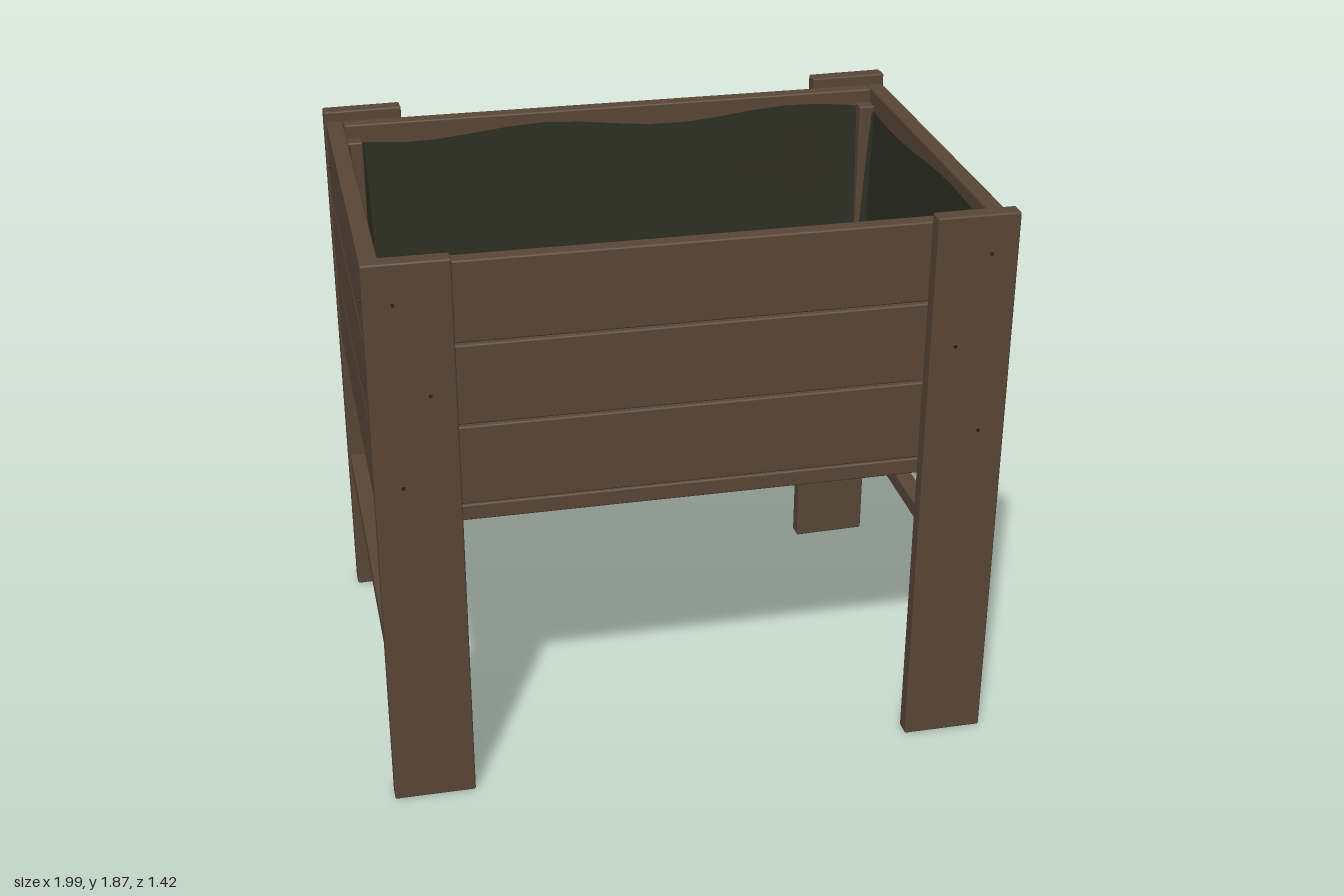
import * as THREE from 'three';
import { RoundedBoxGeometry } from 'three/addons/geometries/RoundedBoxGeometry.js';

const wood = new THREE.MeshStandardMaterial({ color: 0x5a4738 });
wood.name = 'brown wood';
const lining = new THREE.MeshStandardMaterial({ color: 0x2d2e22, side: THREE.DoubleSide });
lining.name = 'dark green lining';
const steel = new THREE.MeshStandardMaterial({ color: 0x2a211a });
steel.name = 'dark screw';

// Softly eased board given by its min and max corners
function board(name, x0, x1, y0, y1, z0, z1) {
  const geo = new RoundedBoxGeometry(x1 - x0, y1 - y0, z1 - z0, 2, 0.006);
  const mesh = new THREE.Mesh(geo, wood);
  mesh.name = name;
  mesh.position.set((x0 + x1) / 2, (y0 + y1) / 2, (z0 + z1) / 2);
  return mesh;
}

// Screw head lying on a front/back (axis z) or left/right (axis x) face
function screw(x, y, z, axis) {
  const geo = new THREE.CylinderGeometry(0.006, 0.006, 0.006, 8);
  if (axis === 'z') geo.rotateX(Math.PI / 2);
  else geo.rotateZ(Math.PI / 2);
  const mesh = new THREE.Mesh(geo, steel);
  mesh.name = 'screw';
  mesh.position.set(x, y, z);
  return mesh;
}

// Fabric tub lofted from rectangular rings with chamfered corners and a wavy rim
function createLiner() {
  const levels = [ // half width, half depth, height
    [0.925, 0.592, 1.78], [0.918, 0.586, 1.6], [0.908, 0.578, 1.3],
    [0.895, 0.565, 1.09], [0.86, 0.53, 1.045],
  ];
  const perSide = 14, c = 0.06, pos = [], index = [];
  levels.forEach(([w, d, y], level) => {
    const corners = [
      [w, d - c], [w, c - d], [w - c, -d], [c - w, -d],
      [-w, c - d], [-w, d - c], [c - w, d], [w - c, d],
    ];
    corners.forEach(([x, z], i) => {
      const [nx, nz] = corners[(i + 1) % 8];
      for (let k = 0; k < perSide; k++) {
        const t = k / perSide;
        const px = x + (nx - x) * t, pz = z + (nz - z) * t;
        const wave = level === 0 ? 0.018 * Math.sin(px * 7 + pz * 5) : 0;
        pos.push(px, y + wave, pz);
      }
    });
  });
  const n = perSide * 8;
  for (let r = 0; r < levels.length - 1; r++) {
    for (let i = 0; i < n; i++) {
      const a = r * n + i, b = r * n + (i + 1) % n;
      index.push(a, b, a + n, b, b + n, a + n);
    }
  }
  // Floor fan
  const centre = pos.length / 3, last = (levels.length - 1) * n;
  pos.push(0, 1.04, 0);
  for (let i = 0; i < n; i++) index.push(last + i, last + (i + 1) % n, centre);
  const geo = new THREE.BufferGeometry();
  geo.setAttribute('position', new THREE.Float32BufferAttribute(pos, 3));
  geo.setIndex(index);
  geo.computeVertexNormals();
  const mesh = new THREE.Mesh(geo, lining);
  mesh.name = 'liner';
  return mesh;
}

export function createModel() {
  const model = new THREE.Group();
  model.name = 'raisedPlanter';

  // Three courses of planks on each of the four walls
  const courses = [[1.03, 1.295], [1.302, 1.565], [1.572, 1.835]];
  for (const [y0, y1] of courses) {
    for (const s of [-1, 1]) {
      const z = s * 0.62, x = s * 0.958;
      model.add(board('longPlank', -0.928, 0.928, y0, y1, z - 0.026, z + 0.026));
      model.add(board('endPlank', x - 0.028, x + 0.028, y0, y1, -0.648, 0.648));
      for (const t of [-1, 1]) {
        for (const y of [y0 + 0.13]) model.add(screw(s * 0.987, y, t * 0.57, 'x'));
      }
    }
  }

  for (const sx of [-1, 1]) {
    for (const sz of [-1, 1]) {
      // Wide flat legs outside the long walls
      const x0 = sx > 0 ? 0.73 : -0.992, z0 = sz > 0 ? 0.65 : -0.706;
      const leg = board('leg', x0, x0 + 0.262, 0, 1.868, z0, z0 + 0.056);
      if (sz < 0) leg.rotation.y = 0.03;
      model.add(leg);
      for (const y of [1.14, 1.44, 1.74]) {
        model.add(screw(sx * (y === 1.44 ? 0.81 : 0.905), y, sz * 0.707, 'z'));
      }
      // Corner posts inside the box
      const px = sx * 0.9, pz = sz * 0.567;
      model.add(board('cornerPost', px - 0.027, px + 0.027, 1.03, 1.79, pz - 0.027, pz + 0.027));
    }
    // Low rail joining front and back legs
    const rx = sx * 0.955;
    model.add(board('sideRail', rx - 0.03, rx + 0.03, 0.492, 0.55, -0.655, 0.655));
  }
  model.add(board('backRail', -0.93, 0.93, 0.5, 0.556, -0.65, -0.592));

  // Four floor slats with gaps
  for (const [z0, z1] of [[0.37, 0.645], [0.042, 0.322], [-0.305, -0.03], [-0.645, -0.365]]) {
    model.add(board('floorSlat', -0.975, 0.975, 0.972, 1.026, z0, z1));
  }

  model.add(createLiner());
  return model;
}
